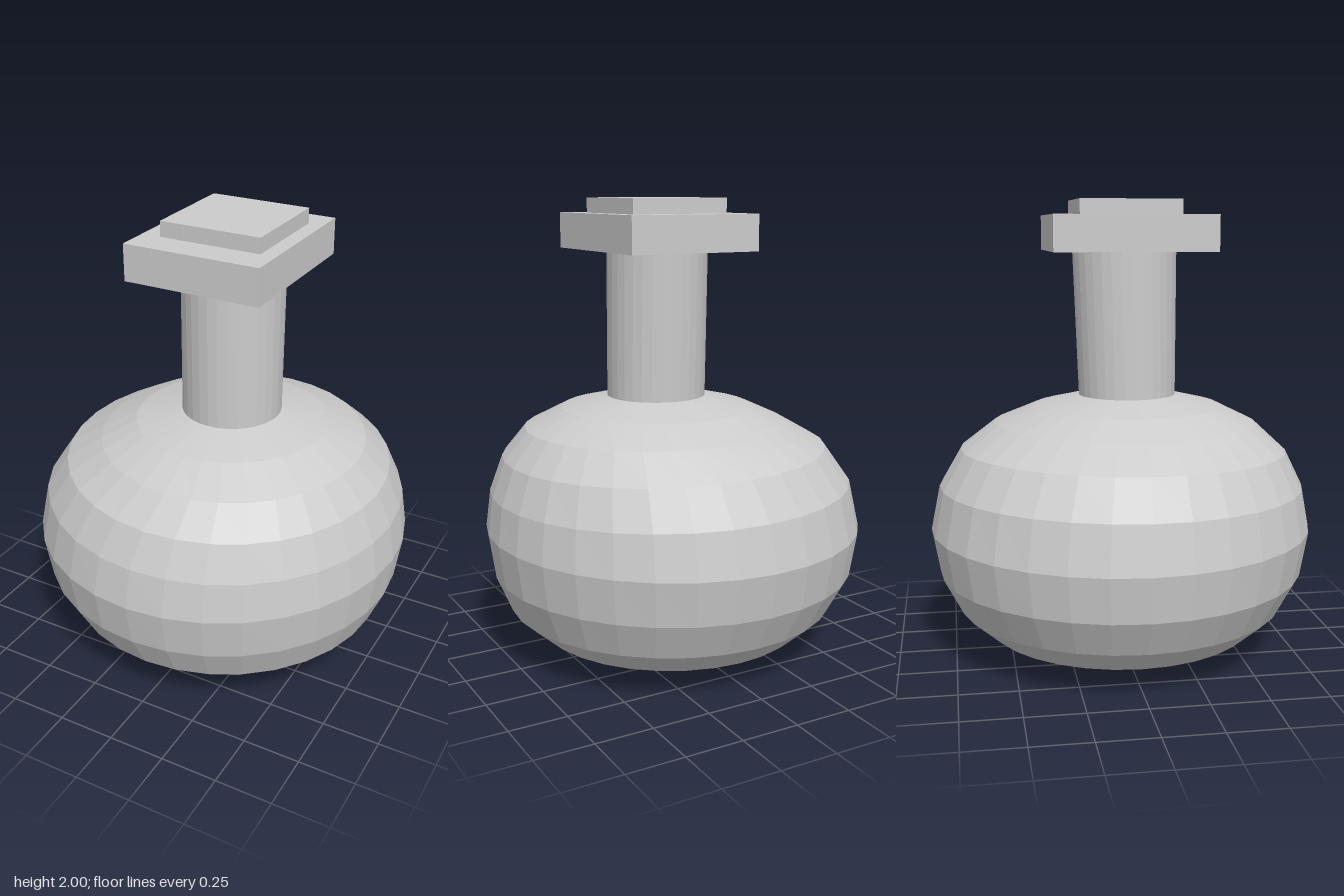
import * as THREE from 'three';

const material = new THREE.MeshStandardMaterial({ color: 0xcccccc, flatShading: true, side: THREE.DoubleSide });

function addMesh(group, name, geometry) {
  const mesh = new THREE.Mesh(geometry, material);
  mesh.name = name;
  group.add(mesh);
  return mesh;
}

// Skins a stack of round rings, bottom to top. Each ring may be off centre,
// slightly oval and tilted: { y, rx, rz, x, z, tiltX, tiltZ }
function ringStack(rings, segments = 32) {
  const profile = rings.map((r) => new THREE.Vector2(1, r.y));
  const geometry = new THREE.LatheGeometry(profile, segments);
  const pos = geometry.attributes.position;
  for (let i = 0; i < pos.count; i++) {
    const { y, rx, rz = rx, x = 0, z = 0, tiltX = 0, tiltZ = 0 } = rings[i % rings.length];
    const dx = pos.getX(i) * rx;
    const dz = pos.getZ(i) * rz;
    pos.setXYZ(i, x + dx, y + dx * tiltX + dz * tiltZ, z + dz);
  }
  geometry.computeVertexNormals();
  return geometry;
}

function addBlock(group, name, [x0, x1], [y0, y1], [z0, z1]) {
  const block = addMesh(group, name, new THREE.BoxGeometry(x1 - x0, y1 - y0, z1 - z0));
  block.position.set((x0 + x1) / 2, (y0 + y1) / 2, (z0 + z1) / 2);
}

export function createModel() {
  const group = new THREE.Group();
  group.name = 'flask';

  // Squat round body whose shoulder drifts off centre toward the neck
  addMesh(group, 'body', ringStack([
    { y: 0, rx: 0, x: 0.01 },
    { y: 0.006, rx: 0.22, x: 0.015 },
    { y: 0.036, rx: 0.43, x: 0.015 },
    { y: 0.1, rx: 0.6, x: 0.01 },
    { y: 0.213, rx: 0.728, x: 0.01 },
    { y: 0.373, rx: 0.805, rz: 0.81 },
    { y: 0.568, rx: 0.833, rz: 0.845 },
    { y: 0.752, rx: 0.8, rz: 0.81, x: 0.01, z: 0.005, tiltX: -0.02, tiltZ: -0.012 },
    { y: 0.908, rx: 0.715, rz: 0.728, x: 0.035, z: 0.018, tiltX: -0.025, tiltZ: -0.017 },
    { y: 1.02, rx: 0.578, rz: 0.592, x: 0.067, z: 0.032, tiltX: -0.01, tiltZ: -0.012 },
    { y: 1.097, rx: 0.42, x: 0.06, z: 0.034 },
    { y: 1.146, rx: 0.216, x: 0.06, z: 0.038 },
    { y: 1.146, rx: 0, x: 0.06, z: 0.038 },
  ]));

  // Neck, leaning slightly backward
  addMesh(group, 'neck', ringStack([
    { y: 1.146, rx: 0.216, x: 0.06, z: 0.038 },
    { y: 1.78, rx: 0.216, rz: 0.23, x: 0.06, z: 0.026 },
  ]));

  // Square collar and the smaller stopper on top
  addBlock(group, 'collar', [-0.24, 0.355], [1.78, 1.935], [-0.315, 0.385]);
  addBlock(group, 'stopper', [-0.155, 0.288], [1.935, 2], [-0.195, 0.245]);

  return group;
}
